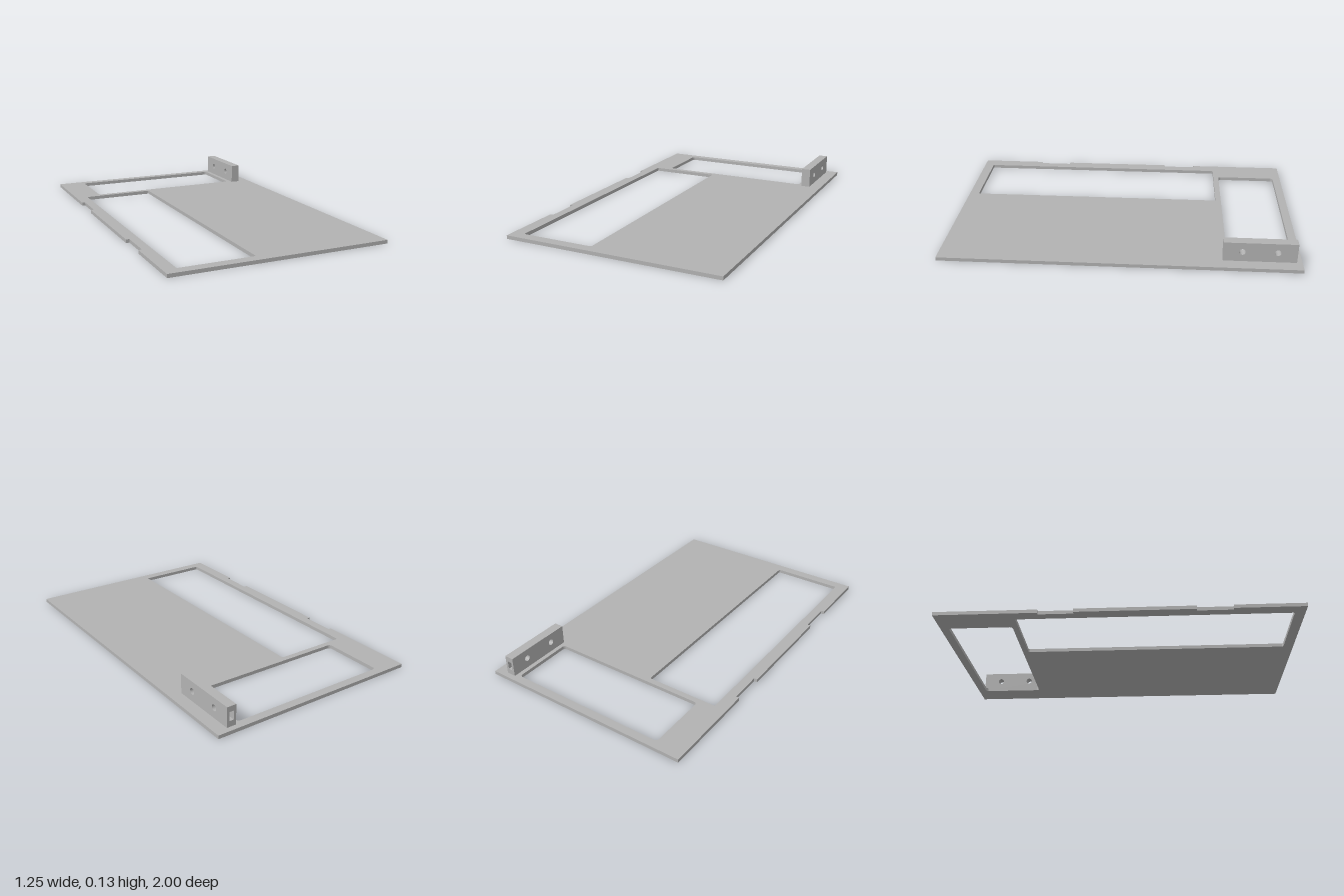
import * as THREE from 'three';

// Closed rectangle path with optional rounded corners
function rect(PathType, x0, y0, x1, y1, r = 0) {
  const p = new PathType();
  if (!r) {
    p.moveTo(x0, y0).lineTo(x1, y0).lineTo(x1, y1).lineTo(x0, y1).closePath();
    return p;
  }
  p.moveTo(x0 + r, y0);
  p.absarc(x1 - r, y0 + r, r, -Math.PI / 2, 0);
  p.absarc(x1 - r, y1 - r, r, 0, Math.PI / 2);
  p.absarc(x0 + r, y1 - r, r, Math.PI / 2, Math.PI);
  p.absarc(x0 + r, y0 + r, r, Math.PI, Math.PI * 1.5);
  p.closePath();
  return p;
}

const extrude = (shape, depth) =>
  new THREE.ExtrudeGeometry(shape, { depth, bevelEnabled: false, curveSegments: 12 });

export function createModel() {
  const group = new THREE.Group();
  const grey = new THREE.MeshStandardMaterial({ color: 0xb2b2b2 });
  grey.name = 'grey';
  const add = (name, geometry, parent = group) => {
    const mesh = new THREE.Mesh(geometry, grey);
    mesh.name = name;
    parent.add(mesh);
    return mesh;
  };

  // Panel outline drawn in (x, -z), with two shallow notches in the -x edge
  const T = 0.02, W = 0.627, N = 0.608;
  const outline = new THREE.Shape([
    [-W, -1], [W, -1], [W, 1], [-W, 1],
    [-W, 0.432], [-N, 0.432], [-N, 0.238], [-W, 0.238],
    [-W, -0.42], [-N, -0.42], [-N, -0.615], [-W, -0.615],
  ].map(([x, y]) => new THREE.Vector2(x, y)));
  outline.holes.push(
    rect(THREE.Path, -0.465, 0.595, 0.477, 0.953, 0.018), // rear window
    rect(THREE.Path, -0.556, -0.943, -0.132, 0.562, 0.008), // long window
  );
  add('panel', extrude(outline, T).rotateX(-Math.PI / 2));

  // Upright mounting block with two cross holes and a slot in its rear end
  const block = new THREE.Group();
  block.name = 'mountingBlock';
  group.add(block);
  const x0 = 0.502, x1 = 0.556, top = 0.134, front = 0.57, rear = 0.97, pocket = 0.04;

  const side = rect(THREE.Shape, front, T, rear - pocket, top);
  for (const u of [0.672, 0.863]) {
    const hole = new THREE.Path();
    hole.absarc(u, 0.078, 0.018, 0, Math.PI * 2, true);
    side.holes.push(hole);
  }
  add('blockBody', extrude(side, x1 - x0).rotateY(Math.PI / 2).translate(x0, 0, 0), block);

  const end = rect(THREE.Shape, x0, T, x1, top);
  const mid = (x0 + x1) / 2;
  end.holes.push(rect(THREE.Path, mid - 0.013, 0.053, mid + 0.013, 0.103));
  add('blockSlottedEnd', extrude(end, pocket).translate(0, 0, -rear), block);

  return group;
}
